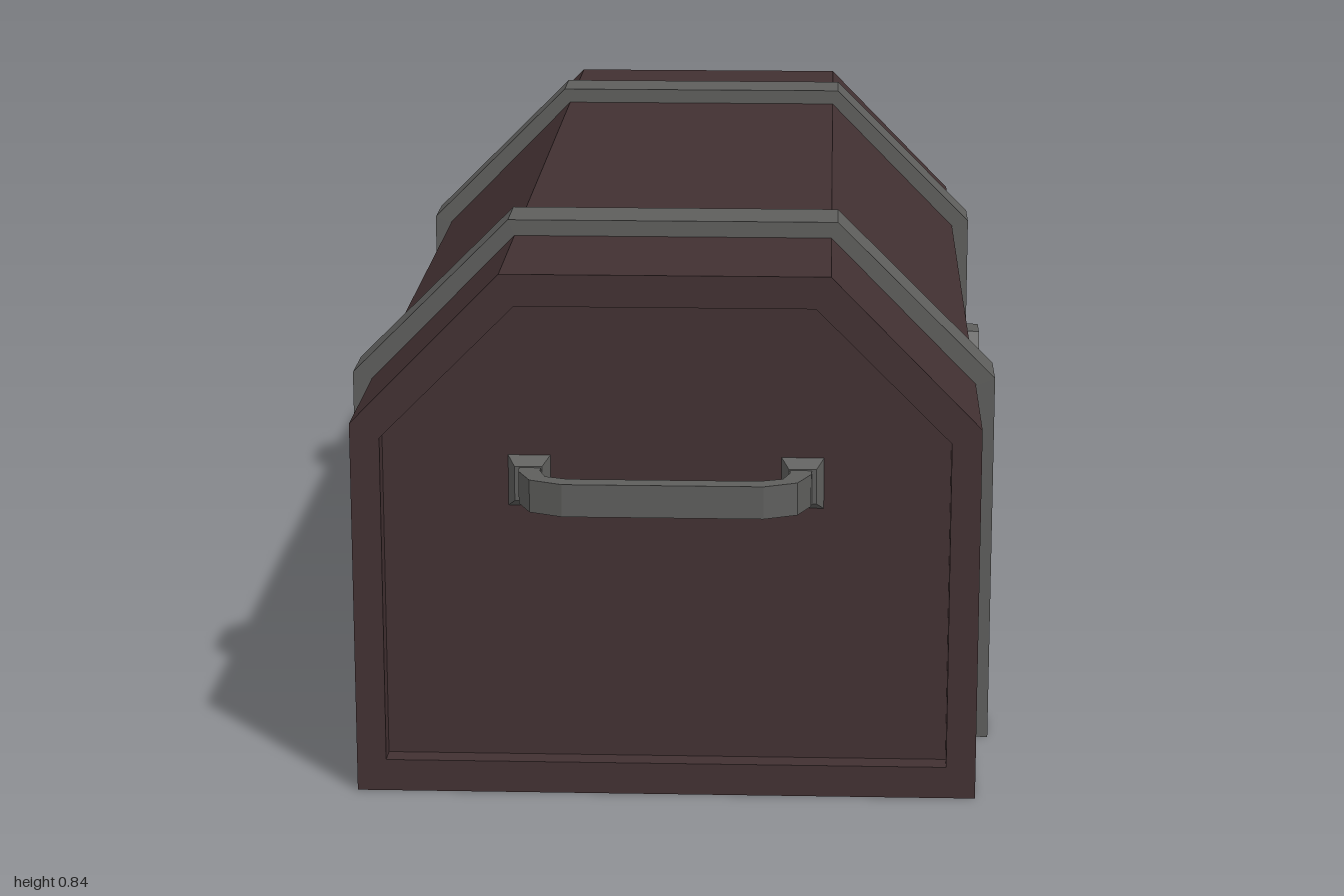
import * as THREE from 'three';

const wood = new THREE.MeshStandardMaterial({ color: 0x423132 });
wood.name = 'dark brown wood';
const metal = new THREE.MeshStandardMaterial({ color: 0x5e5e5c });
metal.name = 'grey metal';

const points = (list) => list.map(([x, y]) => new THREE.Vector2(x, y));

// Chest cross-section: upright sides with a chamfered lid
const chestProfile = (w, y0, y1, cx, cy) =>
  [[-w, y0], [w, y0], [w, cy], [cx, y1], [-cx, y1], [-w, cy]];

function extrude(outline, depth, hole) {
  const shape = new THREE.Shape(points(outline));
  if (hole) shape.holes.push(new THREE.Path(points(hole)));
  return new THREE.ExtrudeGeometry(shape, { depth, bevelEnabled: false });
}

function add(parent, name, geometry, material) {
  const mesh = new THREE.Mesh(geometry, material);
  mesh.name = name;
  parent.add(mesh);
  return mesh;
}

const outer = chestProfile(0.475, 0, 0.817, 0.247, 0.585);
const panel = chestProfile(0.43, 0.05, 0.768, 0.225, 0.563);
const END = 0.925, PANEL = 0.89;

function makeHandle() {
  const handle = new THREE.Group();
  // Bent grip, drawn in plan and extruded upwards
  const half = [[0.222, PANEL], [0.22, 0.93], [0.2, 0.977], [0.15, 1]];
  const inner = [[0.143, 0.97], [0.178, 0.957], [0.188, 0.925], [0.188, PANEL]];
  const flip = (list) => list.map(([x, z]) => [-x, z]).reverse();
  const grip = extrude([...half, ...flip(half), ...flip(inner), ...inner], 0.05);
  grip.rotateX(Math.PI / 2).translate(0, 0.515, 0);
  add(handle, 'handleGrip', grip, metal);
  // Tapered mounting pads
  for (const side of [-1, 1]) {
    const pad = new THREE.BoxGeometry(0.064, 0.079, 0.02);
    const p = pad.attributes.position;
    for (let i = 0; i < p.count; i++) {
      if (p.getZ(i) > 0) p.setXY(i, p.getX(i) * 0.65, p.getY(i) * 0.68);
    }
    pad.computeVertexNormals();
    pad.translate(side * 0.207, 0.49, PANEL + 0.01);
    add(handle, 'handlePad', pad, metal);
  }
  return handle;
}

export function createModel() {
  const chest = new THREE.Group();
  chest.name = 'chest';

  // Body with the lid seam cut into the lock side
  const grooved = [...outer.slice(0, 2),
    [0.475, 0.405], [0.455, 0.405], [0.455, 0.42], [0.475, 0.42], ...outer.slice(2)];
  add(chest, 'body', extrude(grooved, PANEL * 2).translate(0, 0, -PANEL), wood);

  // Raised rims around the recessed end panels, and the carrying handles
  for (const [name, turn] of [['front', 0], ['back', Math.PI]]) {
    const end = new THREE.Group();
    end.name = name + 'End';
    end.rotation.y = turn;
    add(end, name + 'Rim', extrude(outer, END - PANEL, panel).translate(0, 0, PANEL), wood);
    const handle = makeHandle();
    handle.name = name + 'Handle';
    end.add(handle);
    chest.add(end);
  }

  // Metal straps over the sides and lid, open underneath
  const strap = [
    [0.47, 0], [0.505, 0], [0.505, 0.595], [0.257, 0.842],
    [-0.257, 0.842], [-0.505, 0.595], [-0.505, 0], [-0.47, 0],
    [-0.47, 0.58], [-0.244, 0.81], [0.244, 0.81], [0.47, 0.58]];
  for (const z of [-0.6, 0.6]) {
    add(chest, z > 0 ? 'frontStrap' : 'backStrap',
      extrude(strap, 0.1).translate(0, 0, z - 0.05), metal);
  }

  // Lock: upper hasp with a keyhole and lower plate
  const lock = new THREE.Group();
  lock.name = 'lock';
  const hasp = [[-0.05, 0.415], [0.05, 0.415], [0.05, 0.495],
    [0.028, 0.52], [-0.028, 0.52], [-0.05, 0.495]];
  const plate = [[-0.028, 0.312], [0.028, 0.312], [0.05, 0.335],
    [0.05, 0.41], [-0.05, 0.41], [-0.05, 0.335]];
  const keyhole = [[-0.014, 0.44], [0.014, 0.44], [0.019, 0.475],
    [0.012, 0.494], [-0.012, 0.494], [-0.019, 0.475]];
  add(lock, 'lockHasp', extrude(hasp, 0.035, keyhole), metal);
  add(lock, 'lockPlate', extrude(plate, 0.033), metal);
  lock.rotation.y = Math.PI / 2;
  lock.position.x = 0.47;
  chest.add(lock);

  return chest;
}
